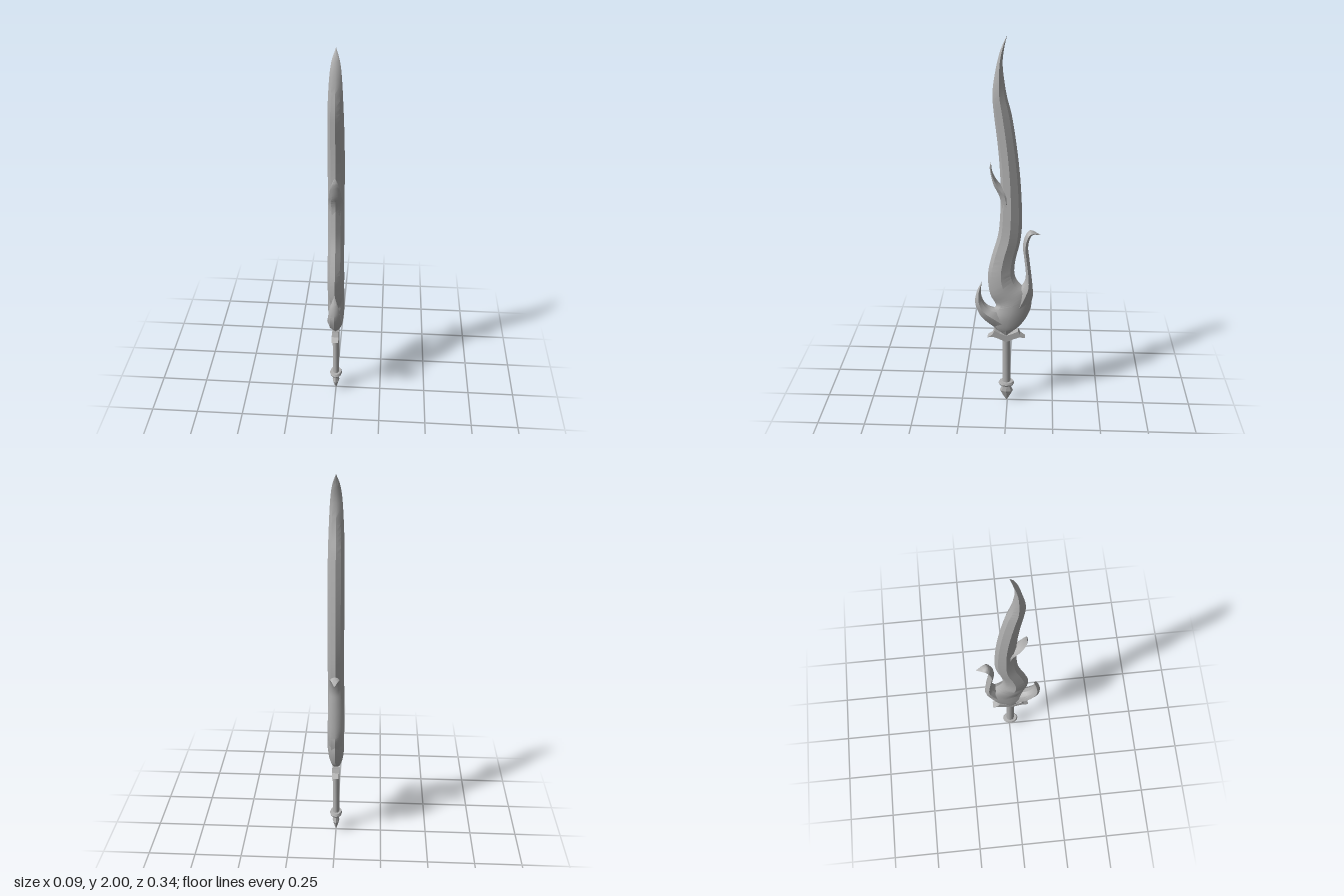
import * as THREE from 'three';
import { toCreasedNormals } from 'three/addons/utils/BufferGeometryUtils.js';

// half of the blade section: [along the blade width, across the thickness]
const SECTION = [[1, 0], [0.72, 0.6], [0, 1], [-0.72, 0.6], [-1, 0], [-0.72, -0.6], [0, -1], [0.72, -0.6]];

// Lofts a flame between two edge rails; row = [frontZ, frontY, backZ, backY, halfThickness]
function flame(rows, steps = 4) {
  const rail = (k) => new THREE.CatmullRomCurve3(
    rows.map((r) => new THREE.Vector3(r[4], r[k + 1], r[k])), false, 'catmullrom', 0.5);
  const front = rail(0), back = rail(2);
  const n = (rows.length - 1) * steps, m = SECTION.length;
  const pos = [], idx = [];
  for (let i = 0; i <= n; i++) {
    const f = front.getPoint(i / n), b = back.getPoint(i / n);
    const t = Math.max(f.x, 0);
    for (const [c, s] of SECTION) {
      const k = (1 + c) / 2;
      pos.push(t * s, b.y + (f.y - b.y) * k, b.z + (f.z - b.z) * k);
    }
  }
  for (let i = 0; i < n; i++) {
    for (let j = 0; j < m; j++) {
      const a = i * m + j, b = i * m + (j + 1) % m;
      idx.push(a, b, b + m, a, b + m, a + m);
    }
  }
  const g = new THREE.BufferGeometry();
  g.setAttribute('position', new THREE.Float32BufferAttribute(pos, 3));
  g.setIndex(idx);
  return toCreasedNormals(g, 0.6);
}

export function createModel() {
  const group = new THREE.Group();
  const steel = new THREE.MeshStandardMaterial({ color: 0xb0b0b0, side: THREE.DoubleSide });
  steel.name = 'grey steel';
  const add = (name, geometry) => {
    const mesh = new THREE.Mesh(geometry, steel);
    mesh.name = name;
    group.add(mesh);
    return mesh;
  };

  // main wavy blade, from the guard up to the tip
  add('blade', flame([
    [0.012, 0.425, 0.0, 0.425, 0.018],
    [0.07, 0.465, -0.06, 0.472, 0.034],
    [0.095, 0.52, -0.105, 0.54, 0.042],
    [0.075, 0.575, -0.126, 0.61, 0.044],
    [0.06, 0.605, -0.115, 0.69, 0.044],
    [0.09, 0.67, -0.063, 0.735, 0.044],
    [0.1, 0.78, -0.037, 0.79, 0.043],
    [0.079, 0.89, -0.042, 0.87, 0.042],
    [0.048, 1.0, -0.065, 0.97, 0.041],
    [0.037, 1.09, -0.074, 1.08, 0.041],
    [0.032, 1.23, -0.069, 1.235, 0.041],
    [0.037, 1.37, -0.058, 1.37, 0.041],
    [0.048, 1.5, -0.042, 1.5, 0.041],
    [0.063, 1.63, -0.021, 1.63, 0.039],
    [0.069, 1.74, 0.004, 1.73, 0.036],
    [0.048, 1.87, 0.021, 1.86, 0.029],
    [0.026, 1.945, 0.014, 1.94, 0.019],
    [0.0, 2.0, 0.0, 2.0, 0.0],
  ]));

  // front flame curling up beside the base
  add('frontFlame', flame([
    [0.04, 0.445, -0.03, 0.53, 0.03],
    [0.122, 0.51, 0.035, 0.575, 0.04],
    [0.153, 0.558, 0.09, 0.59, 0.037],
    [0.169, 0.617, 0.122, 0.622, 0.032],
    [0.159, 0.68, 0.138, 0.675, 0.023],
    [0.132, 0.738, 0.132, 0.738, 0.002],
  ]));

  // slender back flame with a hooked tip
  add('backFlame', flame([
    [-0.02, 0.63, -0.11, 0.575, 0.035],
    [-0.06, 0.7, -0.132, 0.65, 0.037],
    [-0.09, 0.748, -0.132, 0.705, 0.036],
    [-0.095, 0.8, -0.122, 0.8, 0.033],
    [-0.085, 0.89, -0.111, 0.89, 0.031],
    [-0.079, 0.945, -0.106, 0.94, 0.03],
    [-0.09, 1.003, -0.114, 0.985, 0.028],
    [-0.116, 1.033, -0.132, 1.012, 0.023],
    [-0.169, 1.01, -0.169, 1.01, 0.001],
  ]));

  // small barb on the front edge
  add('barb', flame([
    [0.028, 1.13, -0.03, 1.155, 0.03],
    [0.037, 1.21, -0.015, 1.235, 0.036],
    [0.068, 1.277, 0.026, 1.272, 0.031],
    [0.083, 1.341, 0.055, 1.3, 0.026],
    [0.085, 1.37, 0.074, 1.347, 0.017],
    [0.079, 1.397, 0.079, 1.397, 0.001],
  ]));

  // winged guard, drawn as one half and mirrored
  const half = [[0, 0.425], [0.035, 0.437], [0.063, 0.453], [0.074, 0.43], [0.1, 0.412], [0.072, 0.416], [0.042, 0.405], [0, 0.385]];
  const mirrored = half.slice(1, -1).reverse().map(([z, y]) => [-z, y]);
  const outline = half.concat(mirrored).map(([z, y]) => new THREE.Vector2(z, y));
  const guardGeo = new THREE.ExtrudeGeometry(new THREE.Shape(outline), { depth: 0.036, bevelEnabled: false });
  guardGeo.translate(0, 0, -0.018).rotateY(-Math.PI / 2);
  add('guard', guardGeo).position.z = 0.005;

  // grip, collar and pommel, all flattened across x
  const turned = (name, points, sides, flat) => {
    const g = new THREE.LatheGeometry(points.map(([r, y]) => new THREE.Vector2(r, y)), sides);
    const mesh = add(name, toCreasedNormals(g, 0.6));
    mesh.scale.x = flat;
    mesh.position.z = 0.005;
  };
  turned('grip', [[0.022, 0.1], [0.022, 0.42]], 12, 0.82);
  turned('collar', [[0.02, 0.104], [0.038, 0.104], [0.044, 0.114], [0.038, 0.126], [0.02, 0.126]], 12, 0.77);
  turned('pommel', [[0, 0], [0.018, 0.028], [0.036, 0.065], [0.022, 0.1], [0.02, 0.11]], 8, 0.53);
  return group;
}
